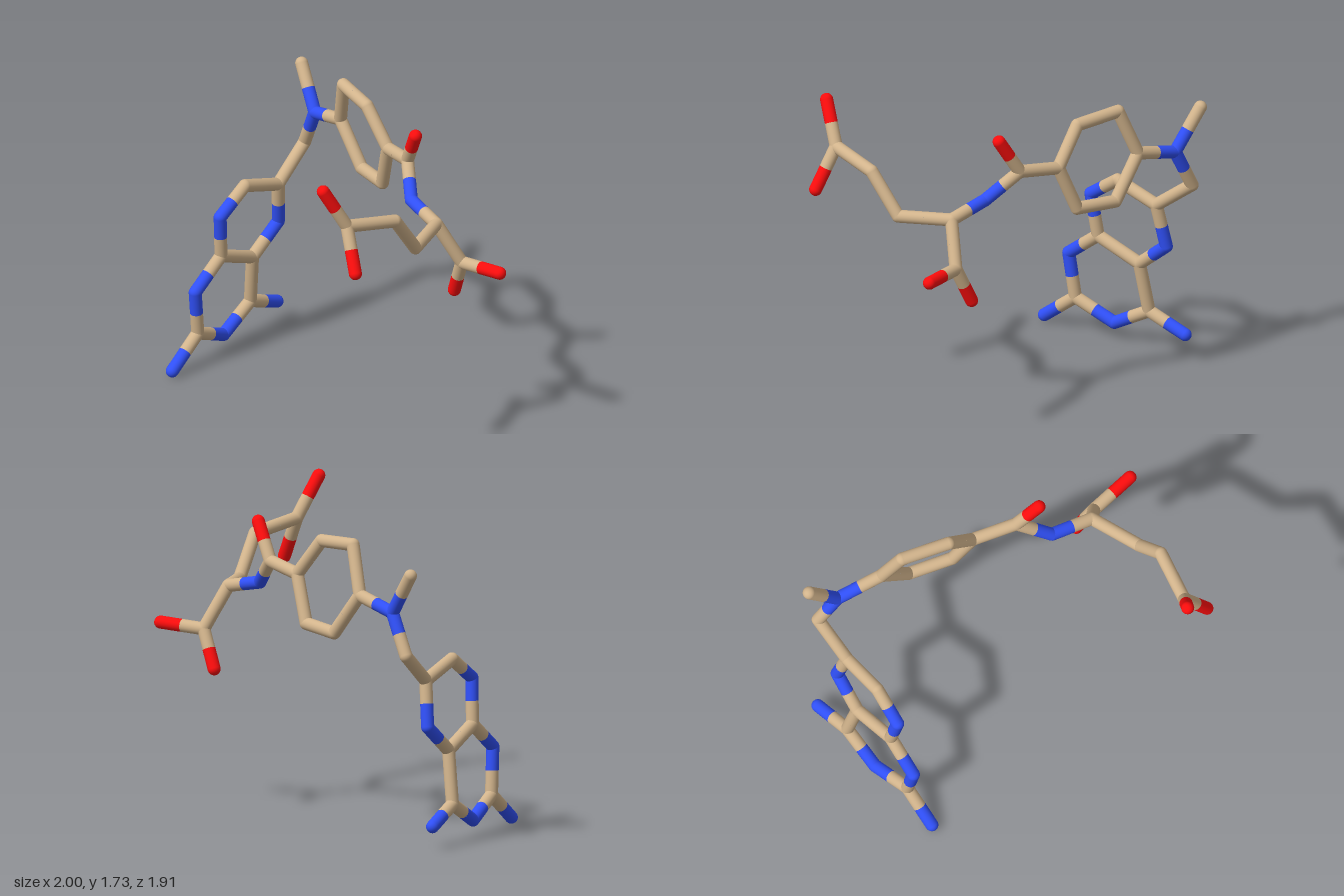
import * as THREE from 'three';

const R = 0.035; // stick radius

const materials = {
  C: new THREE.MeshStandardMaterial({ color: 0xd2b48c }),
  N: new THREE.MeshStandardMaterial({ color: 0x3050f8 }),
  O: new THREE.MeshStandardMaterial({ color: 0xff0d0d }),
};
const elementNames = { C: 'carbon', N: 'nitrogen', O: 'oxygen' };

// Atoms by group; the first letter of each key is the element
const groups = {
  doubleRing: {
    N1: [-0.895, 0.445, -0.118], C2: [-0.895, 0.19, -0.155], N3: [-0.84, 0.09, -0.385],
    C4: [-0.77, 0.21, -0.595], C4a: [-0.74, 0.493, -0.55], C8a: [-0.82, 0.595, -0.3],
    N5: [-0.66, 0.645, -0.72], C6: [-0.64, 0.888, -0.67], C7: [-0.735, 0.967, -0.43],
    N8: [-0.81, 0.84, -0.263], N2x: [-0.965, 0.037, 0.035], N4x: [-0.705, 0.123, -0.812],
  },
  bridge: {
    C9: [-0.575, 1.055, -0.885], N10: [-0.488, 1.275, -0.815], C10m: [-0.607, 1.497, -0.922],
  },
  singleRing: {
    C11: [-0.28, 1.337, -0.665], C12: [-0.225, 1.592, -0.57], C13: [-0.02, 1.578, -0.4],
    C14: [0.125, 1.382, -0.335], C15: [0.06, 1.13, -0.42], C16: [-0.125, 1.113, -0.583],
  },
  link: {
    C17: [0.305, 1.417, -0.17], O17: [0.388, 1.613, -0.078], N18: [0.395, 1.27, -0.002],
  },
  forkedTail: {
    C19: [0.592, 1.222, 0.13], C20: [0.715, 0.993, 0.073], O20a: [0.965, 1.007, 0.152],
    O20b: [0.645, 0.79, 0.005], C21: [0.59, 1.21, 0.425], C22: [0.538, 1.43, 0.585],
    C23: [0.36, 1.475, 0.83], O23a: [0.256, 1.695, 0.91], O23b: [0.445, 1.25, 0.92],
  },
};

// Chains of joined atoms
const chains = [
  'N1 C2 N3 C4 C4a C8a N1', 'C4a N5 C6 C7 N8 C8a', 'C2 N2x', 'C4 N4x',
  'C6 C9 N10 C10m', 'N10 C11 C12 C13 C14 C15 C16 C11',
  'C14 C17 O17', 'C17 N18 C19 C20 O20a', 'C20 O20b',
  'C19 C21 C22 C23 O23a', 'C23 O23b',
];

export function createModel() {
  const model = new THREE.Group();
  model.name = 'stickMolecule';
  const atoms = {};
  const ball = new THREE.SphereGeometry(R, 24, 16);

  // Round joints and ends
  for (const [groupName, members] of Object.entries(groups)) {
    const group = new THREE.Group();
    group.name = groupName;
    model.add(group);
    for (const [key, p] of Object.entries(members)) {
      const position = new THREE.Vector3(...p);
      const element = key[0];
      atoms[key] = { position, element, group };
      const joint = new THREE.Mesh(ball, materials[element]);
      joint.name = elementNames[element] + 'Joint';
      joint.position.copy(position);
      group.add(joint);
    }
  }

  // Half stick from an atom to the middle of its bond
  const up = new THREE.Vector3(0, 1, 0);
  function addHalf(atom, middle) {
    const dir = middle.clone().sub(atom.position);
    const geometry = new THREE.CylinderGeometry(R, R, dir.length(), 24, 1, true);
    const stick = new THREE.Mesh(geometry, materials[atom.element]);
    stick.name = elementNames[atom.element] + 'Stick';
    stick.position.copy(atom.position).addScaledVector(dir, 0.5);
    stick.quaternion.setFromUnitVectors(up, dir.normalize());
    atom.group.add(stick);
  }

  for (const chain of chains) {
    const keys = chain.split(' ');
    for (let i = 1; i < keys.length; i++) {
      const a = atoms[keys[i - 1]], b = atoms[keys[i]];
      const middle = a.position.clone().lerp(b.position, 0.5);
      addHalf(a, middle);
      addHalf(b, middle);
    }
  }
  return model;
}
